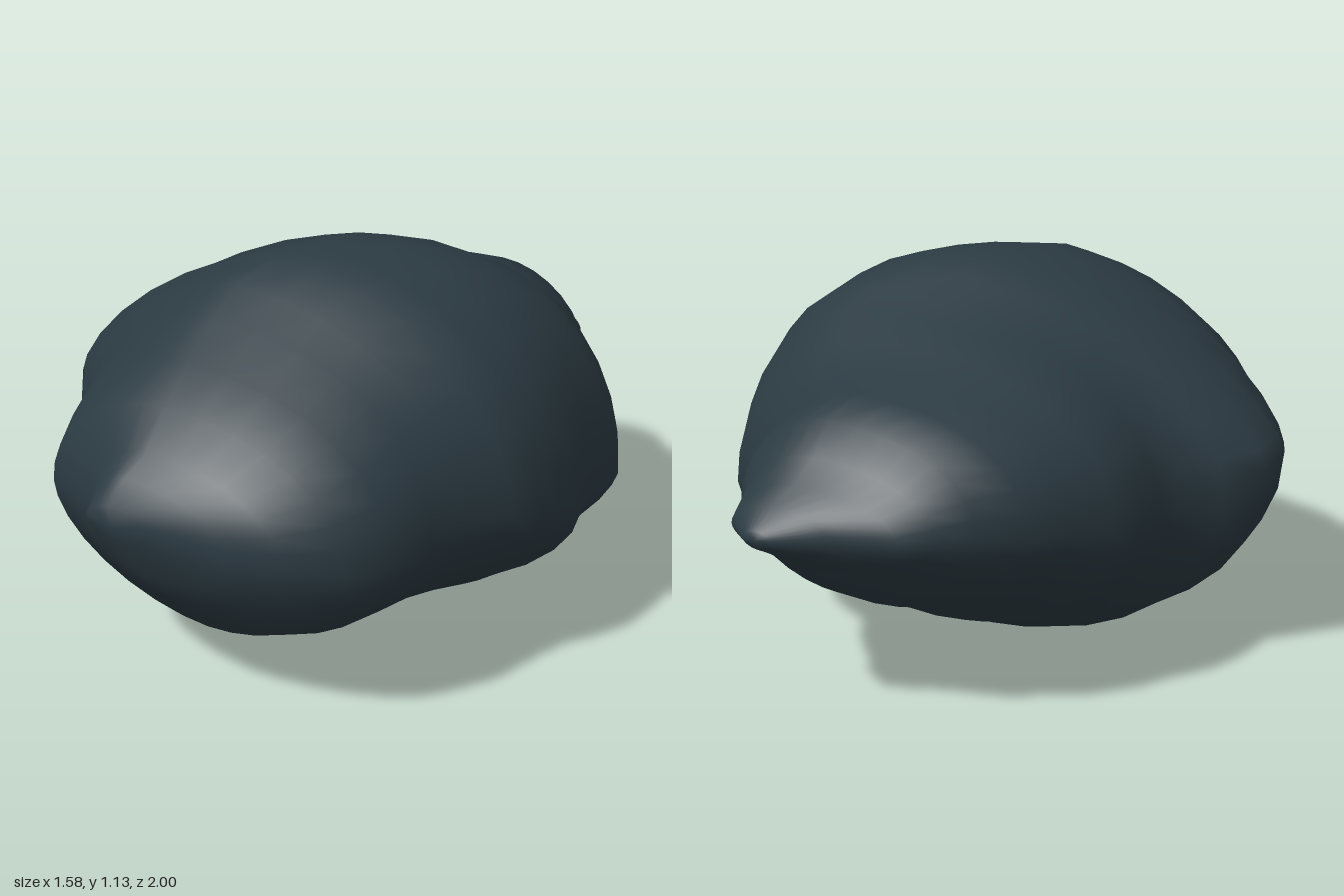
import * as THREE from 'three';

// Stations from front to back: z, right edge x, left edge x, top y, bottom y
const STATIONS = [
  [0.99, -0.15, 0.06, 0.62, 0.53],
  [0.95, -0.17, 0.27, 0.69, 0.42],
  [0.89, -0.22, 0.41, 0.75, 0.34],
  [0.79, -0.44, 0.53, 0.84, 0.22],
  [0.67, -0.5, 0.6, 0.915, 0.17],
  [0.53, -0.55, 0.63, 0.99, 0.145],
  [0.42, -0.65, 0.66, 1.055, 0.13],
  [0.3, -0.745, 0.735, 1.11, 0.105],
  [0.2, -0.79, 0.77, 1.125, 0.07],
  [0.09, -0.785, 0.775, 1.13, 0.025],
  [0, -0.7, 0.785, 1.12, 0],
  [-0.1, -0.61, 0.755, 1.09, 0.03],
  [-0.2, -0.6, 0.765, 1.035, 0.08],
  [-0.3, -0.595, 0.755, 0.99, 0.115],
  [-0.4, -0.57, 0.7, 0.94, 0.155],
  [-0.53, -0.5, 0.52, 0.885, 0.235],
  [-0.64, -0.45, 0.47, 0.855, 0.265],
  [-0.76, -0.36, 0.4, 0.81, 0.33],
  [-0.82, -0.27, 0.345, 0.72, 0.4],
  [-0.88, -0.2, 0.32, 0.66, 0.44],
  [-0.94, -0.02, 0.29, 0.615, 0.48],
  [-0.995, 0.12, 0.21, 0.56, 0.51],
];
const SIDES = 32;

// Value at z along a short list of [z, value] keys running front to back
function along(z, keys) {
  for (let i = 1; i < keys.length; i++) {
    const [z0, v0] = keys[i - 1], [z1, v1] = keys[i];
    if (z >= z1) return THREE.MathUtils.lerp(v0, v1, (z0 - z) / (z0 - z1));
  }
  return keys[keys.length - 1][1];
}

// The crest wanders diagonally over the top; the keel stays near the middle
const CREST_X = [[1, -0.08], [0.9, -0.02], [0.45, -0.08], [0.13, 0.05], [-0.05, 0.2], [-0.2, 0.3], [-0.35, 0.2], [-0.55, 0.08], [-0.8, 0.1], [-1, 0.17]];
const KEEL_X = [[1, -0.05], [0.85, 0.08], [0.45, 0.12], [0, 0], [-0.5, 0], [-1, 0.16]];
// Height of the widest line on each side, as a share of the section height
const LEFT_LINE = [[1, 0.47], [0.3, 0.43], [0, 0.37], [-0.3, 0.35], [-0.7, 0.4], [-1, 0.5]];
const RIGHT_LINE = [[1, 0.48], [0.4, 0.48], [0.15, 0.52], [-0.1, 0.46], [-0.4, 0.44], [-1, 0.5]];
// Fullness of each quarter
const UPPER_LEFT = [[1, 2.1], [0.5, 2.1], [0.3, 1.95], [0, 2.15], [-0.25, 2.25], [-0.5, 1.7], [-0.75, 1.9], [-1, 2]];
const UPPER_RIGHT = [[1, 2], [0.6, 1.8], [0.2, 1.33], [0.05, 1.45], [-0.1, 1.85], [-0.35, 2.25], [-0.7, 2.1], [-1, 2]];
const LOWER_LEFT = [[1, 1.9], [0.4, 1.8], [0, 1.62], [-0.4, 1.7], [-1, 1.8]];
const LOWER_RIGHT = [[1, 1.8], [0.45, 1.75], [0.15, 2.15], [-0.1, 1.9], [-1, 1.8]];

// One lopsided cross-section: each quarter is its own superellipse
function section([z, xMin, xMax, yTop, yBottom]) {
  const points = [];
  for (let j = 0; j < SIDES; j++) {
    const a = (j / SIDES) * Math.PI * 2;
    const c = Math.cos(a), s = Math.sin(a);
    const upper = s >= 0, left = c >= 0;
    const fullness = upper ? (left ? UPPER_LEFT : UPPER_RIGHT) : (left ? LOWER_LEFT : LOWER_RIGHT);
    const power = along(z, fullness);
    const u = Math.abs(c) ** (2 / power);
    const v = Math.abs(s) ** (2 / power);
    const xEnd = along(z, upper ? CREST_X : KEEL_X);
    const ySide = THREE.MathUtils.lerp(yBottom, yTop, along(z, left ? LEFT_LINE : RIGHT_LINE));
    points.push(
      THREE.MathUtils.lerp(xEnd, left ? xMax : xMin, u),
      THREE.MathUtils.lerp(ySide, upper ? yTop : yBottom, v),
      z,
    );
  }
  return points;
}

// Skin the sections and close both ends
function boulderGeometry() {
  const positions = [];
  const index = [];
  STATIONS.forEach((station) => positions.push(...section(station)));
  const rings = STATIONS.length;
  const front = rings * SIDES, back = front + 1;
  positions.push(-0.06, 0.57, 1, 0.165, 0.535, -1);
  for (let j = 0; j < SIDES; j++) {
    const k = (j + 1) % SIDES;
    index.push(front, j, k);
    for (let i = 0; i < rings - 1; i++) {
      const a = i * SIDES + j, b = i * SIDES + k;
      index.push(a, a + SIDES, b, b, a + SIDES, b + SIDES);
    }
    const last = (rings - 1) * SIDES;
    index.push(back, last + k, last + j);
  }
  const geometry = new THREE.BufferGeometry();
  geometry.setAttribute('position', new THREE.Float32BufferAttribute(positions, 3));
  geometry.setIndex(index);
  geometry.computeVertexNormals();
  return geometry;
}

export function createModel() {
  const group = new THREE.Group();
  group.name = 'rock';
  const stone = new THREE.MeshStandardMaterial({ color: 0x2b3a42 });
  stone.name = 'dark slate stone';
  const boulder = new THREE.Mesh(boulderGeometry(), stone);
  boulder.name = 'boulder';
  group.add(boulder);
  return group;
}
